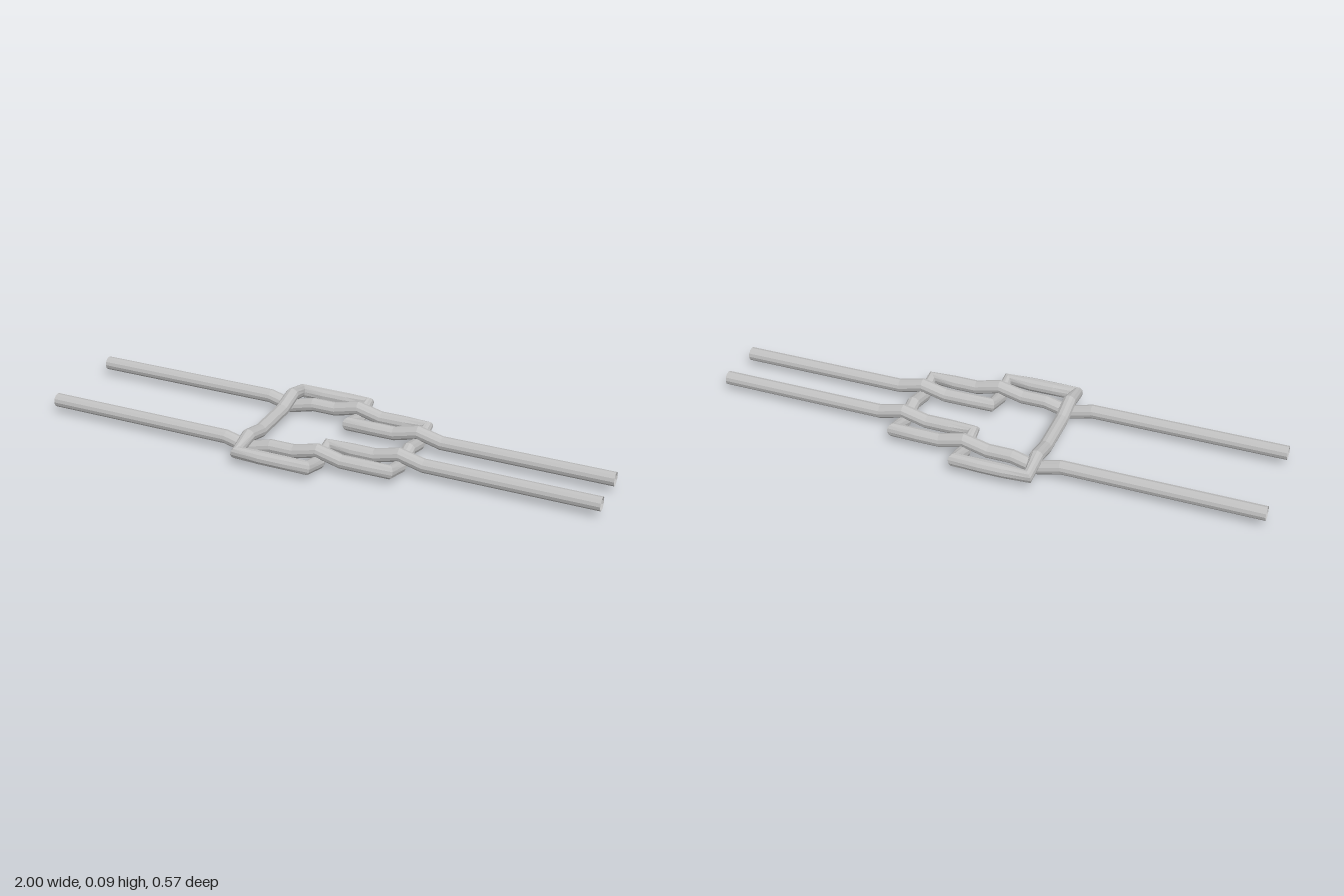
import * as THREE from 'three';

const S = 0.0873;                         // grid step of the knot
const R = 0.0245;                         // rope radius
const MID = 0.0475, LOW = 0.0245, HIGH = 0.07;

// Polyline path with one tube ring per point, facing along the averaged direction
class RopePath extends THREE.Curve {
  constructor(points) { super(); this.points = points; }
  index(u) { return Math.round(u * (this.points.length - 1)); }
  getPointAt(u, target = new THREE.Vector3()) {
    return target.copy(this.points[this.index(u)]);
  }
  getPoint(u, target) { return this.getPointAt(u, target); }
  getTangentAt(u, target = new THREE.Vector3()) {
    const i = this.index(u), p = this.points;
    target.set(0, 0, 0);
    if (i > 0) target.add(p[i].clone().sub(p[i - 1]).normalize());
    if (i < p.length - 1) target.add(p[i + 1].clone().sub(p[i]).normalize());
    return target.normalize();
  }
}

// Half a rope runs from its free end to the middle of its bight; mirror it in z
function rope(name, half, material) {
  const pts = half.map(([x, y, z]) => new THREE.Vector3(x, y, z));
  const back = pts.slice().reverse().filter(p => p.z > 0.001)
    .map(p => new THREE.Vector3(p.x, p.y, -p.z));
  const all = [...pts, ...back];
  const mesh = new THREE.Mesh(
    new THREE.TubeGeometry(new RopePath(all), all.length - 1, R, 12, false), material);
  mesh.name = name;
  return mesh;
}

export function createModel() {
  const group = new THREE.Group();
  group.name = 'ropeKnot';
  const grey = new THREE.MeshStandardMaterial({
    color: 0xc0c0c0, flatShading: true, side: THREE.DoubleSide });
  grey.name = 'ropeGrey';

  // Columns of the knot along x
  const x = i => 0.0425 + i * S;

  // Wide rope: enters from the left, under the far bight, over the hook, then across
  group.add(rope('leftRope', [
    [-1, MID, 2 * S], [x(-4), MID, 2 * S], [x(-3), LOW, 2 * S], [x(-2), MID, 2 * S],
    [x(-1), MID, 2 * S], [x(0), HIGH, 2 * S], [x(1), MID, 2 * S], [x(2), MID, 2 * S],
    [x(3), MID, 2 * S], [x(3), LOW, S], [x(3), MID, 0],
  ], grey));

  // Narrow rope: enters from the right, over the near bight, hooks outward and wraps round
  group.add(rope('rightRope', [
    [1, MID, S], [x(4), MID, S], [x(3), HIGH, S], [x(2), MID, S], [x(1), MID, S],
    [x(0), MID, S], [x(0), LOW, 2 * S], [x(0), MID, 3 * S], [x(-1), MID, 3 * S],
    [x(-2), MID, 3 * S], [x(-3), MID, 3 * S], [x(-3), HIGH, 2 * S], [x(-3), MID, S],
    [x(-3), MID, 0],
  ], grey));
  return group;
}
